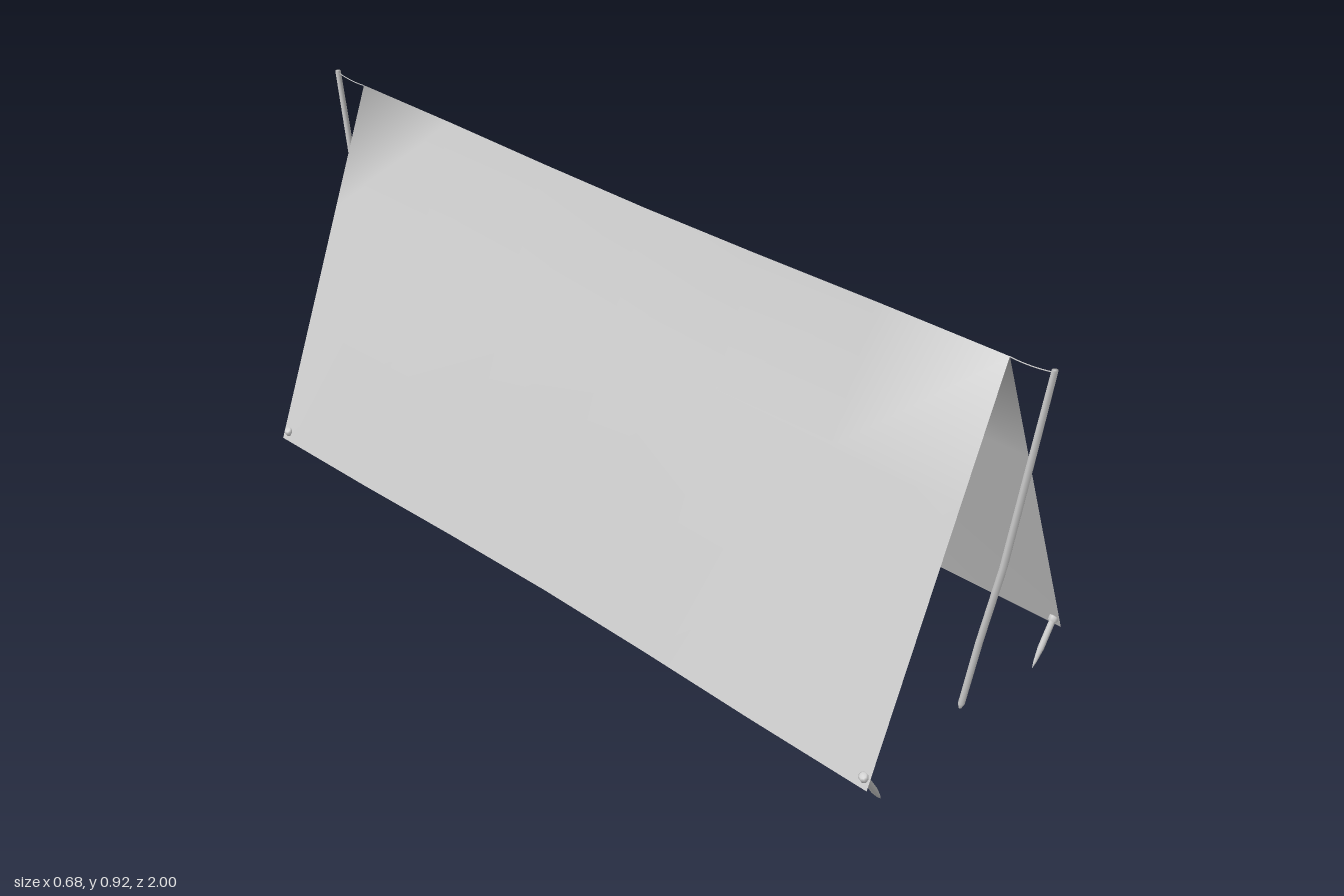
import * as THREE from 'three';

const material = new THREE.MeshStandardMaterial({ color: 0xcccccc });
const clothMaterial = new THREE.MeshStandardMaterial({ color: 0xcccccc, side: THREE.DoubleSide });

// One sheet folded over the ridge, pulled in a little between its ends
function makeCanvas() {
  const geo = new THREE.PlaneGeometry(1.8, 6, 6, 6).rotateX(-Math.PI / 2).rotateY(Math.PI / 2);
  const pos = geo.attributes.position;
  for (let i = 0; i < pos.count; i++) {
    const row = Math.round(pos.getX(i)); // -3 .. 3 across the fold
    const z = pos.getZ(i);
    const t = Math.abs(row) / 3;
    const slack = Math.cos((z / 0.9) * Math.PI / 2) ** 2;
    const pull = row === -2 ? 0.007 : Math.abs(row) === 3 ? 0.015 : 0;
    const sag = row === 0 ? 0.011 : 0;
    pos.setXYZ(i, Math.sign(row) * (0.34 * t - pull * slack), 0.906 - 0.826 * t - sag * slack, z);
  }
  geo.computeVertexNormals();
  return new THREE.Mesh(geo, clothMaterial);
}

// Pointed pole, leaning outwards with a slight bend
function makePole() {
  const profile = [[0, 0.058], [0.003, 0.06], [0.0075, 0.075], [0.008, 0.25], [0.008, 0.45],
    [0.0075, 0.7], [0.0065, 0.916], [0, 0.916]].map(([r, y]) => new THREE.Vector2(r, y));
  const geo = new THREE.LatheGeometry(profile, 8);
  const lean = [[0.058, 0.88], [0.25, 0.907], [0.45, 0.94], [0.7, 0.969], [0.916, 0.994]];
  const pos = geo.attributes.position;
  for (let i = 0; i < pos.count; i++) {
    const y = pos.getY(i);
    let k = 0;
    while (k < lean.length - 2 && y > lean[k + 1][0]) k++;
    const [y0, z0] = lean[k], [y1, z1] = lean[k + 1];
    pos.setZ(i, pos.getZ(i) + z0 + (z1 - z0) * (y - y0) / (y1 - y0));
  }
  geo.computeVertexNormals();
  return new THREE.Mesh(geo, material);
}

// Short cord between ridge end and pole top
function makeCord() {
  const path = new THREE.QuadraticBezierCurve3(
    new THREE.Vector3(0, 0.905, 0.9), new THREE.Vector3(0, 0.901, 0.945), new THREE.Vector3(0, 0.911, 0.994));
  return new THREE.Mesh(new THREE.TubeGeometry(path, 6, 0.0012, 5), material);
}

// Peg with a wider head, its tip at the origin
function makePeg() {
  const profile = [[0, 0], [0.004, 0.018], [0.0075, 0.05], [0.0075, 0.112], [0.011, 0.114],
    [0.011, 0.124], [0.007, 0.128], [0, 0.128]].map(([r, y]) => new THREE.Vector2(r, y));
  return new THREE.Mesh(new THREE.LatheGeometry(profile, 8), material);
}

export function createModel() {
  const model = new THREE.Group();
  const canvas = makeCanvas();
  canvas.name = 'canvas';
  model.add(canvas);

  for (const [end, turn] of [['front', 0], ['back', Math.PI]]) {
    const pole = makePole(), cord = makeCord();
    pole.name = end + 'Pole';
    cord.name = end + 'Cord';
    pole.rotation.y = cord.rotation.y = turn;
    model.add(pole, cord);

    // Pegs slant inwards through the canvas corners
    for (const side of [-1, 1]) {
      const peg = makePeg();
      peg.name = end + (side > 0 ? 'LeftPeg' : 'RightPeg');
      peg.position.set(side * 0.267, 0, turn ? -0.885 : 0.885);
      peg.rotation.z = -side * 0.56;
      model.add(peg);
    }
  }
  return model;
}
